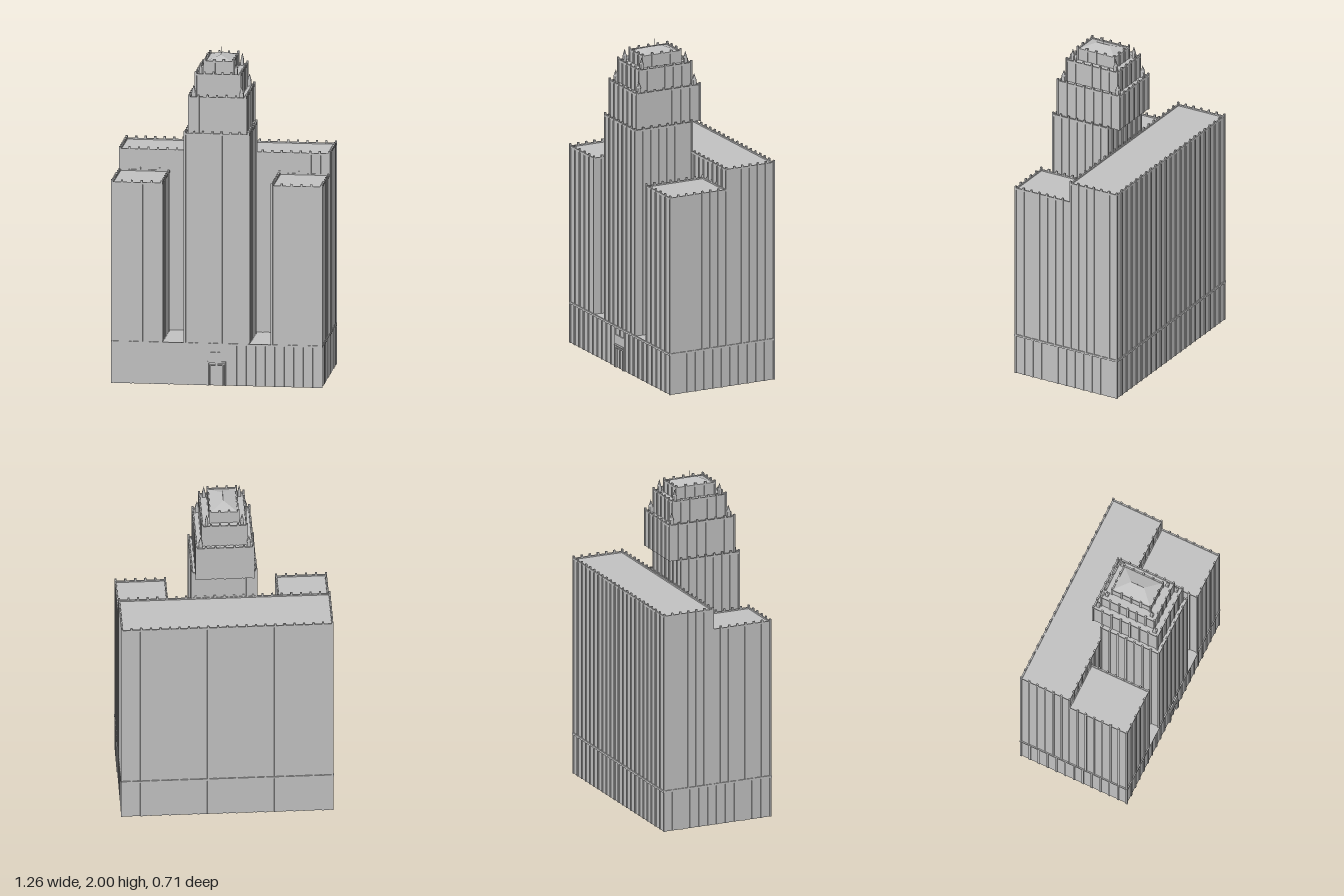
import * as THREE from 'three';
import { mergeGeometries } from 'three/addons/utils/BufferGeometryUtils.js';

const stone = new THREE.MeshStandardMaterial({ color: 0xc0c0c0 });
stone.name = 'pale grey stone';

// Box given by its limits on each axis
function span(x0, x1, y0, y1, z0, z1) {
  return new THREE.BoxGeometry(x1 - x0, y1 - y0, z1 - z0)
    .translate((x0 + x1) / 2, (y0 + y1) / 2, (z0 + z1) / 2);
}

function part(name, geometries) {
  const mesh = new THREE.Mesh(mergeGeometries(geometries), stone);
  mesh.name = name;
  return mesh;
}

// Four thin walls along the inside of a rectangle
function ring(x0, x1, y0, y1, z0, z1, t) {
  return [
    span(x0, x1, y0, y1, z0, z0 + t), span(x0, x1, y0, y1, z1 - t, z1),
    span(x0, x0 + t, y0, y1, z0 + t, z1 - t), span(x1 - t, x1, y0, y1, z0 + t, z1 - t),
  ];
}

// Evenly spaced vertical ribs around a rectangle
function ribs(x0, x1, y0, y1, z0, z1, pitch) {
  const out = [], w = 0.006, d = 0.005;
  const nx = Math.round((x1 - x0) / pitch), nz = Math.round((z1 - z0) / pitch);
  const post = (x, z, a, b) => out.push(span(x - a, x + a, y0, y1, z - b, z + b));
  for (let i = 0; i <= nx; i++) {
    const x = x0 + ((x1 - x0) * i) / nx;
    post(x, z0, w, d);
    post(x, z1, w, d);
  }
  for (let i = 1; i < nz; i++) {
    const z = z0 + ((z1 - z0) * i) / nz;
    post(x0, z, d, w);
    post(x1, z, d, w);
  }
  return out;
}

// Solid storey block with a parapet and ribs that rise past it
function block(name, x0, x1, y0, y1, z0, z1, pitch = 0.057) {
  const g = new THREE.Group();
  g.name = name;
  g.add(part(name + 'Walls', [span(x0, x1, y0, y1 - 0.008, z0, z1)]));
  g.add(part(name + 'Parapet',
    ring(x0 - 0.003, x1 + 0.003, y1 - 0.012, y1, z0 - 0.003, z1 + 0.003, 0.009)));
  g.add(part(name + 'Ribs', ribs(x0, x1, y0, y1 + 0.013, z0, z1, pitch)));
  return g;
}

// Corner pinnacle: square shaft under a steep pyramid
function pinnacle(x, y, z, w, h) {
  const tip = new THREE.ConeGeometry(w * Math.SQRT2, h * 0.6, 4).rotateY(Math.PI / 4)
    .translate(x, y + h * 0.7, z);
  return [span(x - w, x + w, y - 0.01, y + h * 0.4, z - w, z + w), tip];
}

// Low hipped roof with a short ridge running front to back
function hipRoof(w, y0, y1, z0, z1, r0, r1) {
  const a = [-w, y0, z0], b = [w, y0, z0], c = [w, y0, z1], d = [-w, y0, z1];
  const p = [0, y1, r0], q = [0, y1, r1];
  const corners = [b, a, p, d, c, q, c, b, p, c, p, q, a, d, q, a, q, p];
  const g = new THREE.BufferGeometry();
  g.setAttribute('position', new THREE.Float32BufferAttribute(corners.flat(), 3));
  g.computeVertexNormals();
  return g;
}

export function createModel() {
  const model = new THREE.Group();
  model.name = 'skyscraper';
  const X = 0.623, BACK = -0.352, FRONT = 0.342, MID = -0.035, BASE = 0.25;

  // Hollow base, open underneath
  model.add(part('base', [
    ...ring(-X, X, 0, BASE, BACK, FRONT, 0.004),
    span(-X, X, BASE - 0.004, BASE, BACK, FRONT),
  ]));
  model.add(part('baseRibs', ribs(-X, X, 0, BASE, BACK, FRONT, 0.057)));
  model.add(part('beltCourse',
    ring(-X - 0.007, X + 0.007, BASE - 0.008, BASE + 0.004, BACK - 0.007, FRONT + 0.007, 0.01)));

  // Rear slab and the two front wings
  model.add(block('rearSlab', -X, X, BASE, 1.337, BACK, MID));
  model.add(block('leftWing', 0.328, X, BASE, 1.213, MID, FRONT));
  model.add(block('rightWing', -X, -0.328, BASE, 1.213, MID, FRONT));

  // Stepped tower
  model.add(block('towerShaft', -0.19, 0.19, BASE, 1.517, MID, FRONT));
  model.add(block('lowerTier', -0.168, 0.168, 1.51, 1.733, -0.1, 0.322));
  model.add(block('middleTier', -0.132, 0.132, 1.72, 1.865, -0.063, 0.284));
  model.add(block('upperTier', -0.084, 0.084, 1.85, 1.933, -0.017, 0.235));

  // Pinnacles on the corners of two setbacks
  const tips = [];
  for (const s of [-1, 1]) {
    for (const z of [-0.076, 0.295]) tips.push(...pinnacle(s * 0.143, 1.73, z, 0.011, 0.07));
    for (const z of [-0.038, 0.256]) tips.push(...pinnacle(s * 0.105, 1.862, z, 0.009, 0.07));
  }
  model.add(part('pinnacles', tips));

  // Roof and mast
  model.add(part('hippedRoof', [hipRoof(0.083, 1.926, 1.957, -0.016, 0.234, 0.068, 0.152)]));
  model.add(part('mast', [new THREE.CylinderGeometry(0.001, 0.002, 0.05, 6).translate(0, 1.975, 0.11)]));

  // Entrance: outer jambs, inner frame and a panel above
  const f = FRONT;
  model.add(part('entranceFrame', [
    span(-0.055, -0.047, 0, 0.135, f, f + 0.012), span(0.047, 0.055, 0, 0.135, f, f + 0.012),
    span(-0.042, -0.036, 0, 0.125, f, f + 0.009), span(0.036, 0.042, 0, 0.125, f, f + 0.009),
    span(-0.042, 0.042, 0.119, 0.125, f, f + 0.009),
  ]));
  model.add(part('entrancePanel', [
    span(-0.052, 0.052, 0.145, 0.2, f, f + 0.007),
    span(-0.055, 0.055, 0.135, 0.145, f, f + 0.01),
  ]));
  return model;
}
